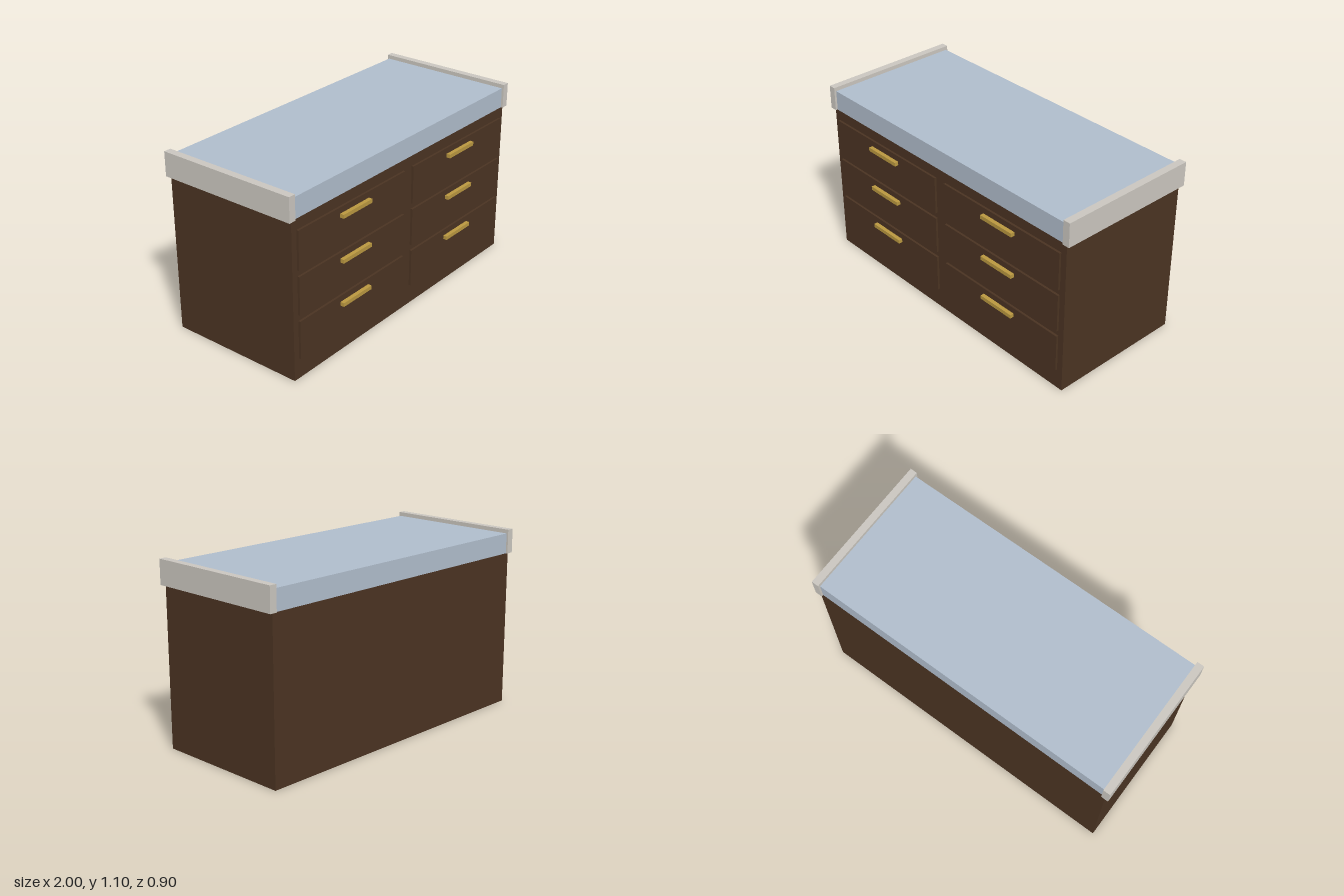
import * as THREE from 'three';

export function createModel() {
  const group = new THREE.Group();
  const material = (name, color) => {
    const m = new THREE.MeshStandardMaterial({ color });
    m.name = name;
    return m;
  };
  const wood = material('dark wood', 0x4a3322);
  const padding = material('pale blue padding', 0xafbccb);
  const trim = material('light grey trim', 0xc9c5be);
  const brass = material('brass', 0xb9973f);

  // Box given by its minimum and maximum on each axis
  const box = (name, mat, [x0, x1], [y0, y1], [z0, z1]) => {
    const mesh = new THREE.Mesh(new THREE.BoxGeometry(x1 - x0, y1 - y0, z1 - z0), mat);
    mesh.position.set((x0 + x1) / 2, (y0 + y1) / 2, (z0 + z1) / 2);
    mesh.name = name;
    group.add(mesh);
  };

  // Cabinet and the pad on its top
  box('cabinet', wood, [-0.975, 0.975], [0, 0.952], [-0.437, 0.414]);
  box('pad', padding, [-0.957, 0.957], [0.952, 1.075], [-0.437, 0.414]);

  for (const [side, label] of [[-1, 'right'], [1, 'left']]) {
    const span = (a, b) => (side > 0 ? [a, b] : [-b, -a]);

    // End rail
    box(label + 'Rail', trim, span(0.956, 1), [0.953, 1.099], [-0.449, 0.427]);

    // Three drawer fronts with bar handles
    for (let i = 0; i < 3; i++) {
      const y = 0.124 + i * 0.267;
      box(label + 'Drawer' + (i + 1), wood, span(0.039, 0.937), [y, y + 0.231], [0.414, 0.427]);
      box(label + 'Handle' + (i + 1), brass, span(0.365, 0.607), [y + 0.172, y + 0.195], [0.427, 0.451]);
    }
  }
  return group;
}
